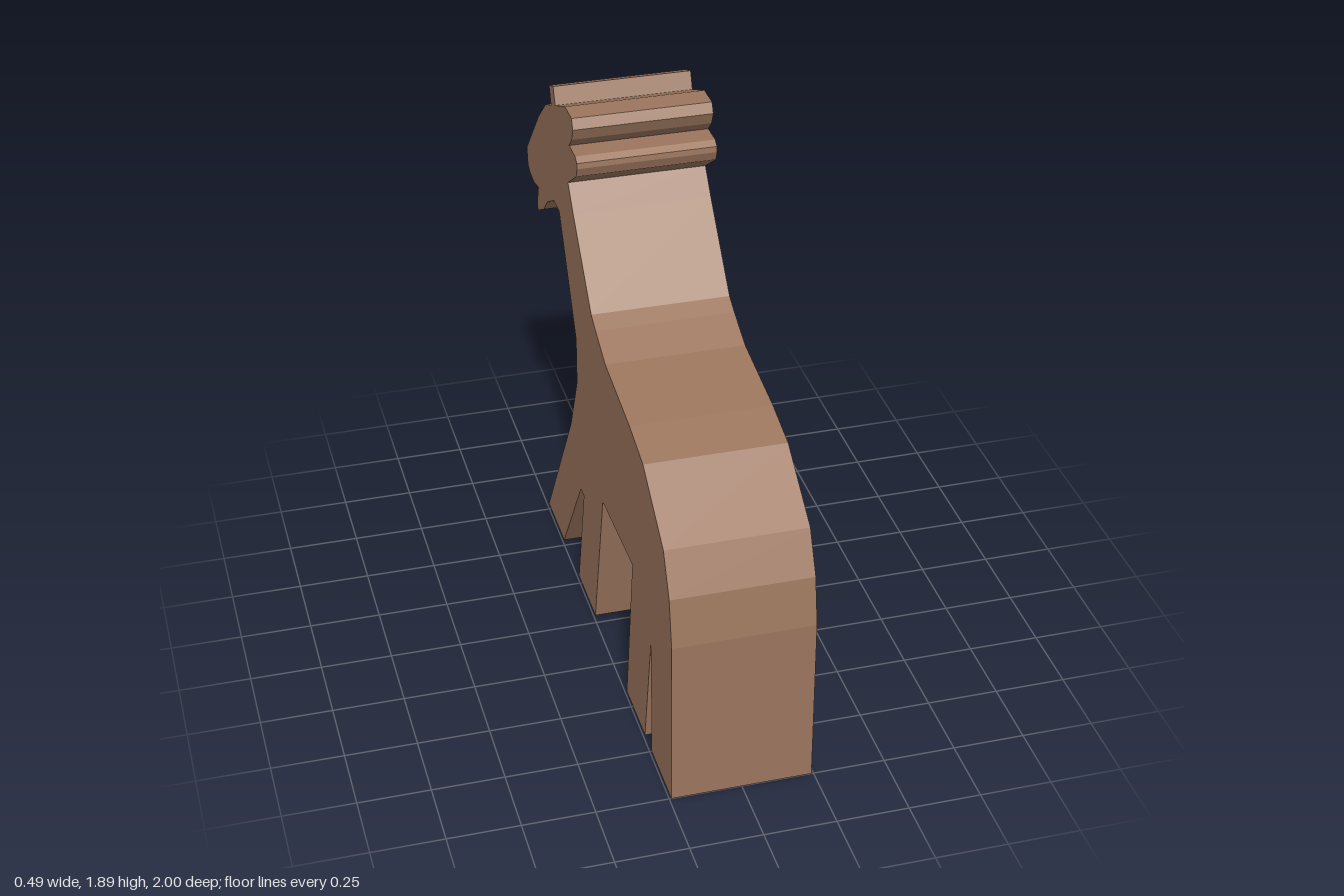
import * as THREE from 'three';

const WIDTH = 0.486;

// Side outline as [z, y] pairs
const back = [[1, 0], [1, 0.62], [0.97, 0.79], [0.9, 0.935], [0.65, 1.1], [0.48, 1.14], [0.16, 1.185], [0.03, 1.24], [-0.03, 1.27]];
const nape = [[-0.27, 1.53], [-0.34, 1.615]];
const ears = [
  [-0.214, 1.7], [-0.2, 1.735], [-0.202, 1.755], [-0.225, 1.77], [-0.31, 1.77],
  [-0.27, 1.81], [-0.25, 1.855], [-0.268, 1.89], [-0.362, 1.89],
];
const horn = [[-0.51, 1.825], [-0.535, 1.885], [-0.6, 1.86], [-0.575, 1.795]];
const face = [
  [-0.66, 1.76], [-0.785, 1.655], [-1, 1.43], [-0.99, 1.365], [-0.965, 1.35], [-0.895, 1.34], [-0.82, 1.357],
  [-0.847, 1.276], [-0.836, 1.255], [-0.735, 1.31], [-0.68, 1.367], [-0.57, 1.43], [-0.488, 1.43],
];
const chest = [[-0.265, 1.04], [-0.265, 0.86], [-0.375, 0.62]];
const frontLegs = [[-0.787, 0], [-0.534, 0], [-0.236, 0.428], [-0.19, 0.428], [-0.295, 0], [-0.043, 0], [0.097, 0.59]];
const hindLegs = [[0.504, 0.605], [0.413, 0], [0.66, 0], [0.745, 0.466], [0.745, 0]];

export function createModel() {
  const group = new THREE.Group();
  group.name = 'giraffeCutout';

  const wood = new THREE.MeshStandardMaterial({ color: 0x9c765e });
  wood.name = 'brown wood';

  const outline = [back, nape, ears, horn, face, chest, frontLegs, hindLegs].flat();
  const shape = new THREE.Shape(outline.map(([z, y]) => new THREE.Vector2(z, y)));

  // Extrude, centre the thickness, then turn the outline into the z-y plane
  const geometry = new THREE.ExtrudeGeometry(shape, { depth: WIDTH, bevelEnabled: false });
  geometry.translate(0, 0, -WIDTH / 2);
  geometry.rotateY(-Math.PI / 2);

  const body = new THREE.Mesh(geometry, wood);
  body.name = 'giraffeBody';
  group.add(body);
  return group;
}
